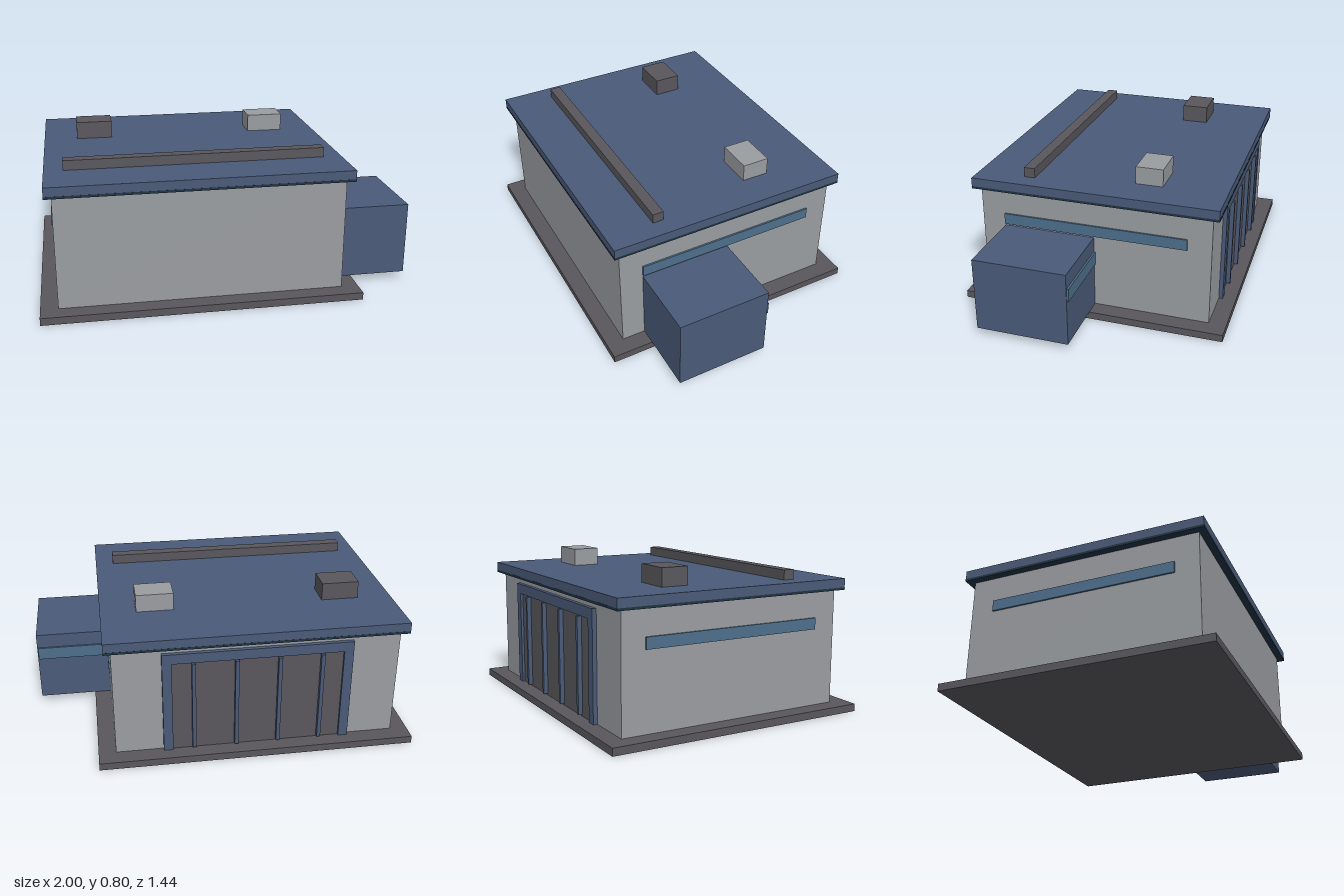
import * as THREE from 'three';

const paint = (color) => new THREE.MeshStandardMaterial({ color });

export function createModel() {
  const model = new THREE.Group();
  const blue = paint(0x4a5a78);
  const wall = paint(0x9a9da1);
  const dark = paint(0x59575c);
  const glass = paint(0x4d6f8c);
  const trim = paint(0x1f3342);

  // Box given by its lower and upper limits on each axis
  const box = (name, material, [x0, x1], [y0, y1], [z0, z1], parent = model) => {
    const mesh = new THREE.Mesh(new THREE.BoxGeometry(x1 - x0, y1 - y0, z1 - z0), material);
    mesh.position.set((x0 + x1) / 2, (y0 + y1) / 2, (z0 + z1) / 2);
    mesh.name = name;
    parent.add(mesh);
    return mesh;
  };

  // Main building
  box('baseSlab', dark, [-1, 0.69], [0, 0.04], [-0.72, 0.72]);
  box('walls', wall, [-0.908, 0.598], [0.04, 0.65], [-0.627, 0.627]);
  box('roofTrim', trim, [-0.945, 0.635], [0.648, 0.661], [-0.665, 0.665]);
  box('roof', blue, [-0.945, 0.635], [0.661, 0.708], [-0.664, 0.664]);

  // Roof fittings
  box('roofBeam', dark, [-0.845, 0.535], [0.708, 0.76], [0.345, 0.405]);
  box('darkRoofVent', dark, [-0.76, -0.56], [0.708, 0.803], [-0.327, -0.18]);
  box('paleRoofVent', wall, [0.245, 0.445], [0.708, 0.803], [-0.327, -0.18]);

  // Long windows on both sides
  box('leftWindow', glass, [0.59, 0.607], [0.45, 0.51], [-0.5, 0.5]);
  box('rightWindow', glass, [-0.917, -0.9], [0.45, 0.51], [-0.5, 0.5]);

  // Side annex with a strip window on its rear face
  box('annex', blue, [0.598, 1], [0.04, 0.44], [0, 0.5]);
  box('annexWindow', glass, [0.605, 0.995], [0.29, 0.36], [-0.01, 0.002]);

  // Rear gate: frame, recessed panel and upright bars
  const gate = new THREE.Group();
  gate.name = 'rearGate';
  gate.position.x = -0.155;
  model.add(gate);
  const frameZ = [-0.649, -0.62];
  for (const side of [-1, 1]) {
    box('gatePost', blue, [side * 0.475 - 0.025, side * 0.475 + 0.025], [0.04, 0.615], frameZ, gate);
  }
  box('gateLintel', blue, [-0.45, 0.45], [0.56, 0.615], frameZ, gate);
  box('gatePanel', dark, [-0.45, 0.45], [0.04, 0.56], [-0.635, -0.62], gate);
  for (let i = 0; i < 4; i++) {
    const x = -0.3375 + i * 0.225;
    box('gateBar', blue, [x - 0.01, x + 0.01], [0.05, 0.555], [-0.658, -0.63], gate);
  }

  return model;
}
